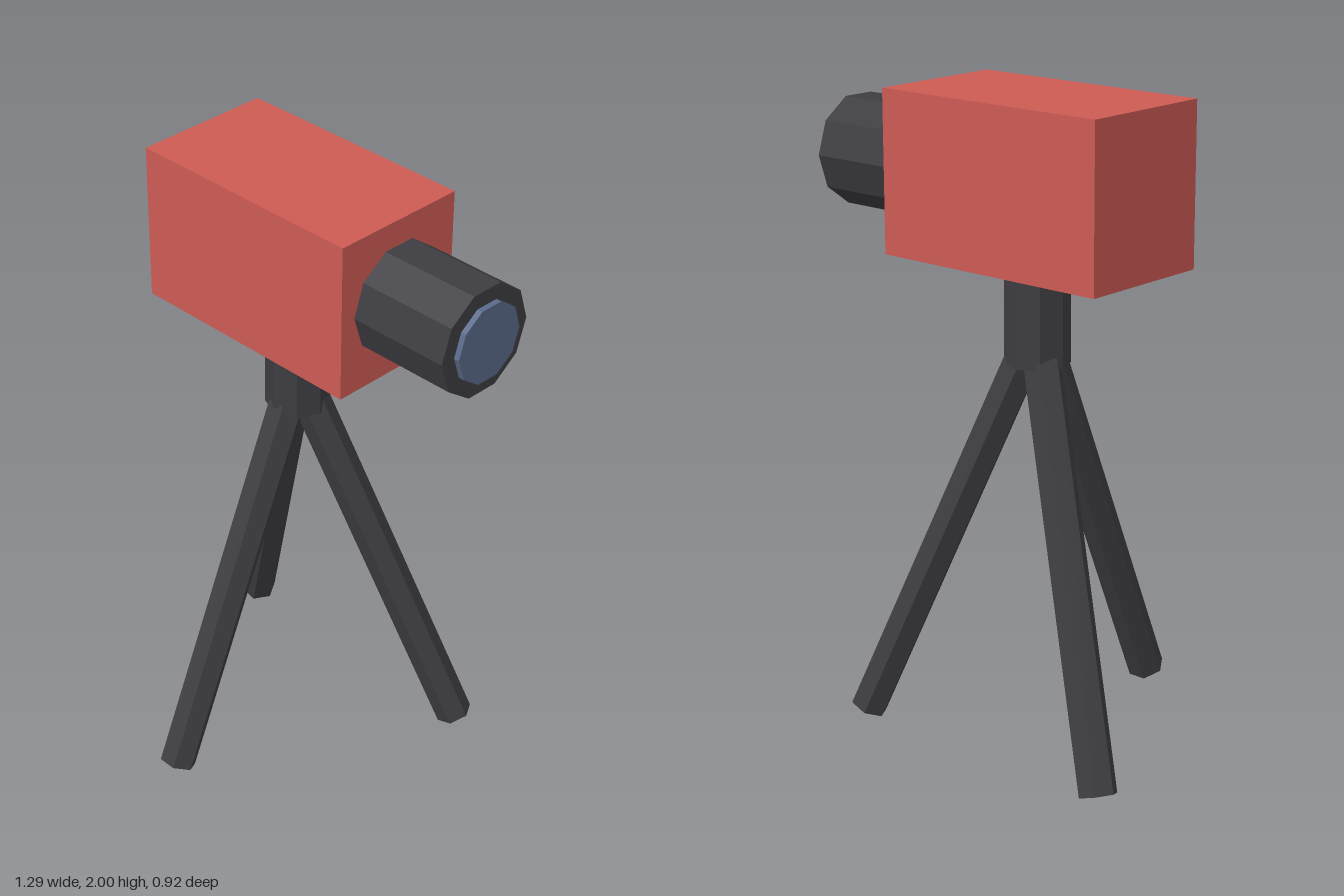
import * as THREE from 'three';

const CX = -0.115, CZ = -0.135; // vertical axis of the stand

export function createModel() {
  const mat = (name, color) => {
    const m = new THREE.MeshStandardMaterial({ color, flatShading: true });
    m.name = name;
    return m;
  };
  const red = mat('red', 0xcd5b54);
  const charcoal = mat('charcoal', 0x3d3c41);
  const blueGlass = mat('blueGlass', 0x5a6a89);

  const model = new THREE.Group();
  model.name = 'cameraOnTripod';
  const add = (name, geometry, material, x, y, z) => {
    const mesh = new THREE.Mesh(geometry, material);
    mesh.name = name;
    mesh.position.set(x, y, z);
    model.add(mesh);
    return mesh;
  };

  // Faceted cylinder between two x positions on the lens axis
  const barrel = (name, radius, x0, x1, material) => {
    const geometry = new THREE.CylinderGeometry(radius, radius, x1 - x0, 10).rotateZ(-Math.PI / 2);
    add(name, geometry, material, (x0 + x1) / 2, 1.75, CZ);
  };

  // Camera body and lens
  add('body', new THREE.BoxGeometry(0.81, 0.5, 0.455), red, CX, 1.75, CZ);
  barrel('lensBarrel', 0.176, 0.27, 0.622, charcoal);
  barrel('lensGlass', 0.126, 0.6, 0.64, blueGlass);

  // Octagonal neck under the body
  add('neck', new THREE.CylinderGeometry(0.1, 0.1, 0.32, 8), charcoal, CX, 1.35, CZ);

  // Three splayed hexagonal legs, one towards the front
  const top = new THREE.Vector3(0, 1.205, 0.043);
  const foot = new THREE.Vector3(0, 0.021, 0.547);
  const legGeometry = new THREE.CylinderGeometry(0.06, 0.06, top.distanceTo(foot), 6)
    .rotateY(Math.PI / 6)
    .rotateX(-Math.atan2(foot.z - top.z, top.y - foot.y))
    .translate(0, (top.y + foot.y) / 2, (top.z + foot.z) / 2);
  ['frontLeg', 'backLeftLeg', 'backRightLeg'].forEach((name, i) => {
    add(name, legGeometry, charcoal, CX, 0, CZ).rotation.y = (i * Math.PI * 2) / 3;
  });

  return model;
}
